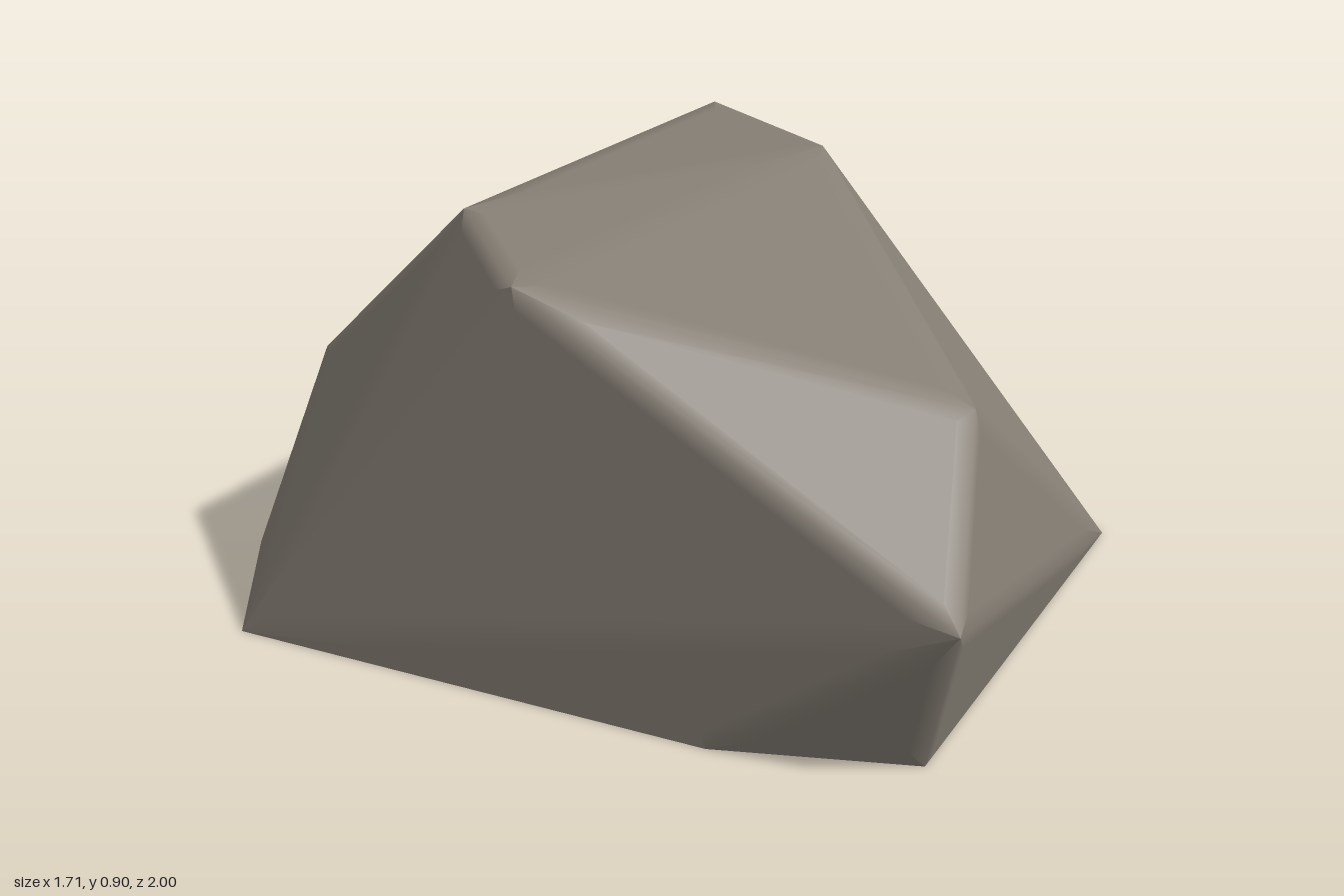
import * as THREE from 'three';
import { ConvexGeometry } from 'three/addons/geometries/ConvexGeometry.js';

const v = (x, y, z) => new THREE.Vector3(x, y, z);

// Lower rim of the boulder; the underside inside it stays open
const rim = [
  v(0.85, 0, 0.48), v(0.84, 0, -0.11), v(0.66, 0, -0.89), v(-0.66, 0.055, -0.66),
  v(-0.855, 0, -0.43), v(-0.43, 0, 0.55), v(-0.16, 0, 0.87),
];

// Corners of the sides and of the flat top
const corners = [
  v(-0.23, 0.36, 1), v(0.07, 0.63, 0.75), v(-0.52, 0.84, 0.1), v(0.85, 0.17, 0.2),
  v(0.79, 0.42, -0.52), v(0.6, 0.7, -0.6), v(0.22, 0.25, -1), v(-0.5, 0.5, -0.59),
  v(0.4, 0.9, 0), v(0.45, 0.9, -0.4), v(-0.42, 0.9, -0.18),
];

const key = (p) => `${p.x.toFixed(3)},${p.y.toFixed(3)},${p.z.toFixed(3)}`;

// Facets of the hull, without those that close the underside
function hullFacets() {
  const rimKeys = new Set(rim.map(key));
  const pos = new ConvexGeometry([...rim, ...corners]).getAttribute('position');
  const facets = [];
  for (let i = 0; i < pos.count; i += 3) {
    const p = [0, 1, 2].map((k) => new THREE.Vector3().fromBufferAttribute(pos, i + k));
    if (p.every((q) => rimKeys.has(key(q)))) continue;
    const normal = new THREE.Triangle(...p).getNormal(v(0, 0, 0));
    facets.push({ p, normal });
  }
  return facets;
}

// Flat facets whose narrow borders blend into the neighbouring facet
function softFacetGeometry(facets, width) {
  const edgeNormals = new Map();
  const edgeKey = (a, b) => [key(a), key(b)].sort().join('|');
  for (const { p, normal } of facets) {
    p.forEach((a, k) => {
      const id = edgeKey(a, p[(k + 1) % 3]);
      if (!edgeNormals.has(id)) edgeNormals.set(id, v(0, 0, 0));
      edgeNormals.get(id).add(normal);
    });
  }
  const positions = [];
  const normals = [];
  const push = (q, n) => {
    positions.push(q.x, q.y, q.z);
    normals.push(n.x, n.y, n.z);
  };
  for (const { p, normal } of facets) {
    const [a, b, c] = p;
    const la = b.distanceTo(c), lb = c.distanceTo(a), lc = a.distanceTo(b);
    const around = la + lb + lc;
    const centre = v(0, 0, 0).addScaledVector(a, la / around)
      .addScaledVector(b, lb / around).addScaledVector(c, lc / around);
    const inradius = 2 * new THREE.Triangle(a, b, c).getArea() / around;
    const inner = p.map((q) => q.clone().lerp(centre, Math.min(0.6, width / inradius)));
    inner.forEach((q) => push(q, normal));
    for (let k = 0; k < 3; k++) {
      const m = (k + 1) % 3;
      const n = edgeNormals.get(edgeKey(p[k], p[m])).clone().normalize();
      push(p[k], n); push(p[m], n); push(inner[m], normal);
      push(p[k], n); push(inner[m], normal); push(inner[k], normal);
    }
  }
  const geometry = new THREE.BufferGeometry();
  geometry.setAttribute('position', new THREE.Float32BufferAttribute(positions, 3));
  geometry.setAttribute('normal', new THREE.Float32BufferAttribute(normals, 3));
  return geometry;
}

export function createModel() {
  const stone = new THREE.MeshStandardMaterial({ color: 0x857e74, side: THREE.DoubleSide });
  stone.name = 'stone';
  const boulder = new THREE.Mesh(softFacetGeometry(hullFacets(), 0.035), stone);
  boulder.name = 'boulder';
  const model = new THREE.Group();
  model.name = 'rock';
  model.add(boulder);
  return model;
}
